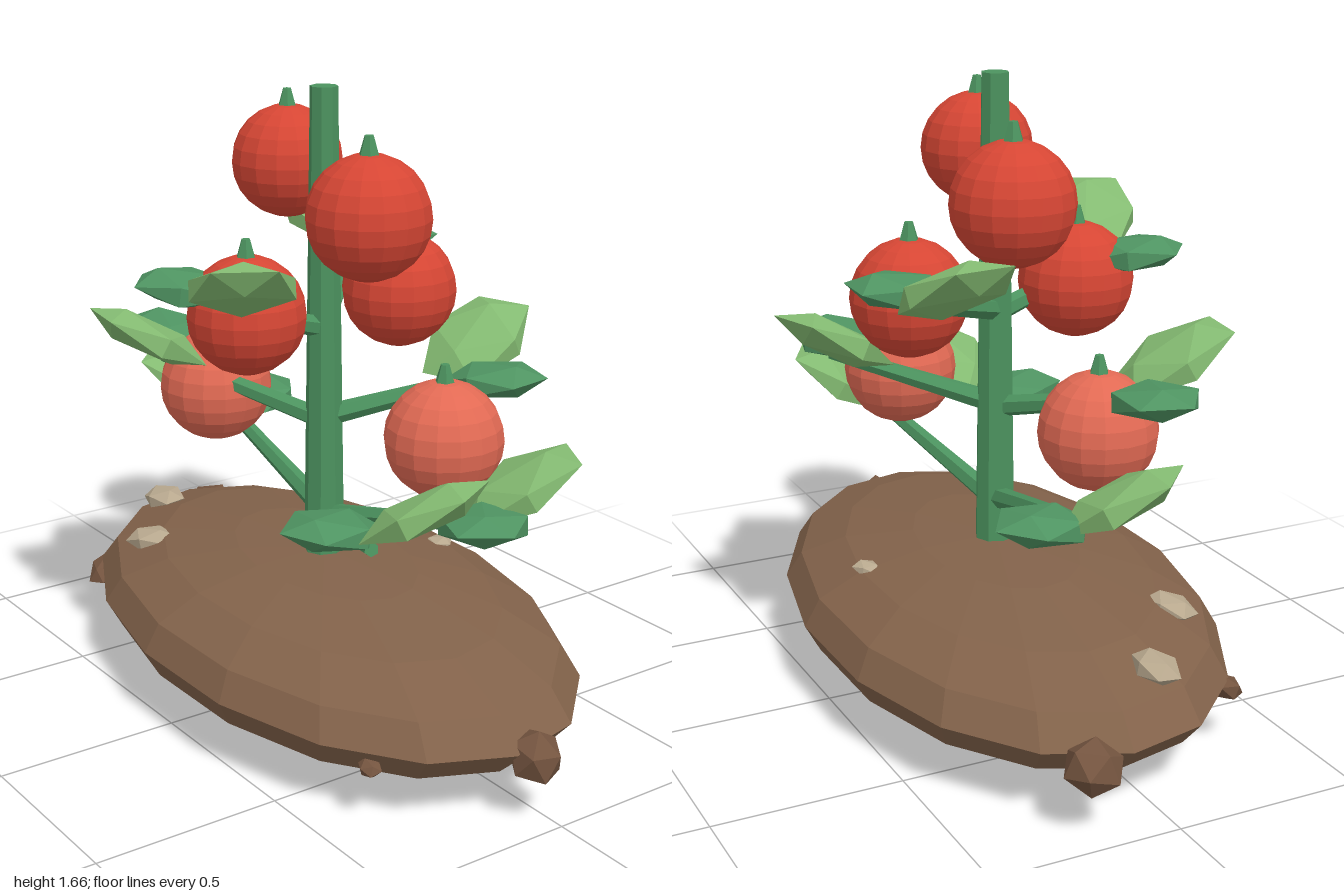
import * as THREE from 'three';

const flat = (name, color) => {
  const m = new THREE.MeshStandardMaterial({ color, flatShading: true });
  m.name = name;
  return m;
};

export function createModel() {
  const root = new THREE.Group();
  root.name = 'fruitPlant';
  const mat = {
    soil: flat('soil', 0x82624a),
    clod: flat('clod', 0x755540),
    stone: flat('stone', 0xb8a88e),
    stem: flat('stemGreen', 0x4c935f),
    dark: flat('darkLeaf', 0x4f9462),
    light: flat('lightLeaf', 0x84bb72),
    ripe: flat('ripeRed', 0xd64634),
    young: flat('youngRed', 0xe26a54),
  };

  const add = (parent, name, geo, material, pos = [0, 0, 0], scale = [1, 1, 1], rot = [0, 0, 0]) => {
    const m = new THREE.Mesh(geo, material);
    m.name = name;
    m.position.set(...pos);
    m.scale.set(...scale);
    m.rotation.set(...rot);
    parent.add(m);
    return m;
  };

  // Tapered six-sided rod between two points
  const rod = (parent, name, a, b, r0, r1, material) => {
    const from = new THREE.Vector3(...a), dir = new THREE.Vector3(...b).sub(from);
    const m = add(parent, name, new THREE.CylinderGeometry(r1, r0, dir.length(), 6), material);
    m.position.copy(from).addScaledVector(dir, 0.5);
    m.quaternion.setFromUnitVectors(new THREE.Vector3(0, 1, 0), dir.normalize());
  };

  // Soil mound
  add(root, 'mound', new THREE.SphereGeometry(1, 16, 8), mat.soil,
    [0, 0.204, 0], [0.95, 0.196, 0.545], [0, -0.105, 0]);

  // Clods at the rim and stones on the top
  const ico = new THREE.IcosahedronGeometry(1, 0);
  const clods = [
    [[-0.93, 0.185, -0.2], [0.075, 0.07, 0.08]],
    [[0.935, 0.18, 0.035], [0.07, 0.075, 0.075]],
    [[-0.69, 0.175, 0.31], [0.075, 0.035, 0.05]],
    [[0.72, 0.16, 0.37], [0.035, 0.02, 0.03]],
  ];
  clods.forEach(([p, s], i) => add(root, 'clod', ico, mat.clod, p, s, [0.3, i, 0.2]));
  const stones = [
    [[-0.77, 0.318, 0.06], [0.08, 0.035, 0.06]],
    [[-0.49, 0.325, 0.27], [0.08, 0.033, 0.06]],
    [[0.05, 0.343, -0.36], [0.045, 0.022, 0.04]],
  ];
  stones.forEach(([p, s], i) => add(root, 'stone', ico, mat.stone, p, s, [0.1, 0.4 * i, 0.1]));

  // Main stem
  add(root, 'stem', new THREE.CylinderGeometry(0.037, 0.056, 1.3, 8), mat.stem, [0, 1.02, 0]);

  // Branches: base height, tip, light leaf centre, dark leaf centre
  const branches = [
    [0.51, [-0.57, 0.645, -0.05], [-0.65, 0.715, 0.02], [-0.585, 0.66, -0.16]],
    [0.49, [0.53, 0.625, 0.23], [0.62, 0.73, 0.14], [0.43, 0.655, 0.28]],
    [0.5, [0.6, 0.635, -0.1], [0.58, 0.715, -0.2], [0.64, 0.665, -0.03]],
    [0.77, [-0.44, 0.885, 0.24], [-0.38, 0.965, 0.32], [-0.55, 0.92, 0.17]],
    [0.78, [0.26, 0.9, -0.37], [0.15, 0.965, -0.4], [0.34, 0.915, -0.31]],
    [1.03, [0.05, 1.14, 0.37], [0.18, 1.225, 0.37], [-0.09, 1.175, 0.37]],
    [1.04, [-0.32, 1.165, -0.34], [-0.44, 1.23, -0.32], [-0.2, 1.18, -0.36]],
  ];
  // Flattened faceted leaf, long axis turned about y and tipped upward
  const leaf = (parent, name, pos, angle, tilt, size, material) =>
    add(parent, name, ico, material, pos, size, [0, -angle, tilt]);

  branches.forEach(([y, tip, lightPos, darkPos]) => {
    const g = new THREE.Group();
    g.name = 'branch';
    root.add(g);
    rod(g, 'twig', [0, y, 0], tip, 0.03, 0.019, mat.stem);
    const angle = Math.atan2(tip[2], tip[0]);
    leaf(g, 'lightLeaf', lightPos, angle - 0.92, 0.52, [0.185, 0.052, 0.155], mat.light);
    leaf(g, 'darkLeaf', darkPos, angle + 0.8, 0.12, [0.145, 0.048, 0.13], mat.dark);
  });

  // Fruits with a small stalk on top
  const ball = new THREE.SphereGeometry(0.157, 16, 12);
  const stalk = new THREE.CylinderGeometry(0.012, 0.03, 0.06, 6);
  const fruits = [
    [-0.363, 1.407, -0.13, 'ripe'], [0.36, 1.407, 0.12, 'ripe'],
    [-0.005, 1.1, 0.24, 'ripe'], [0.005, 1.1, -0.245, 'ripe'],
    [-0.37, 0.797, 0.112, 'young'], [0.37, 0.797, -0.118, 'young'],
  ];
  fruits.forEach(([x, y, z, tone]) => {
    const g = new THREE.Group();
    g.name = 'fruit';
    g.position.set(x, y, z);
    root.add(g);
    add(g, 'flesh', ball, mat[tone]);
    add(g, 'stalk', stalk, mat.stem, [0, 0.17, 0]);
  });

  return root;
}
